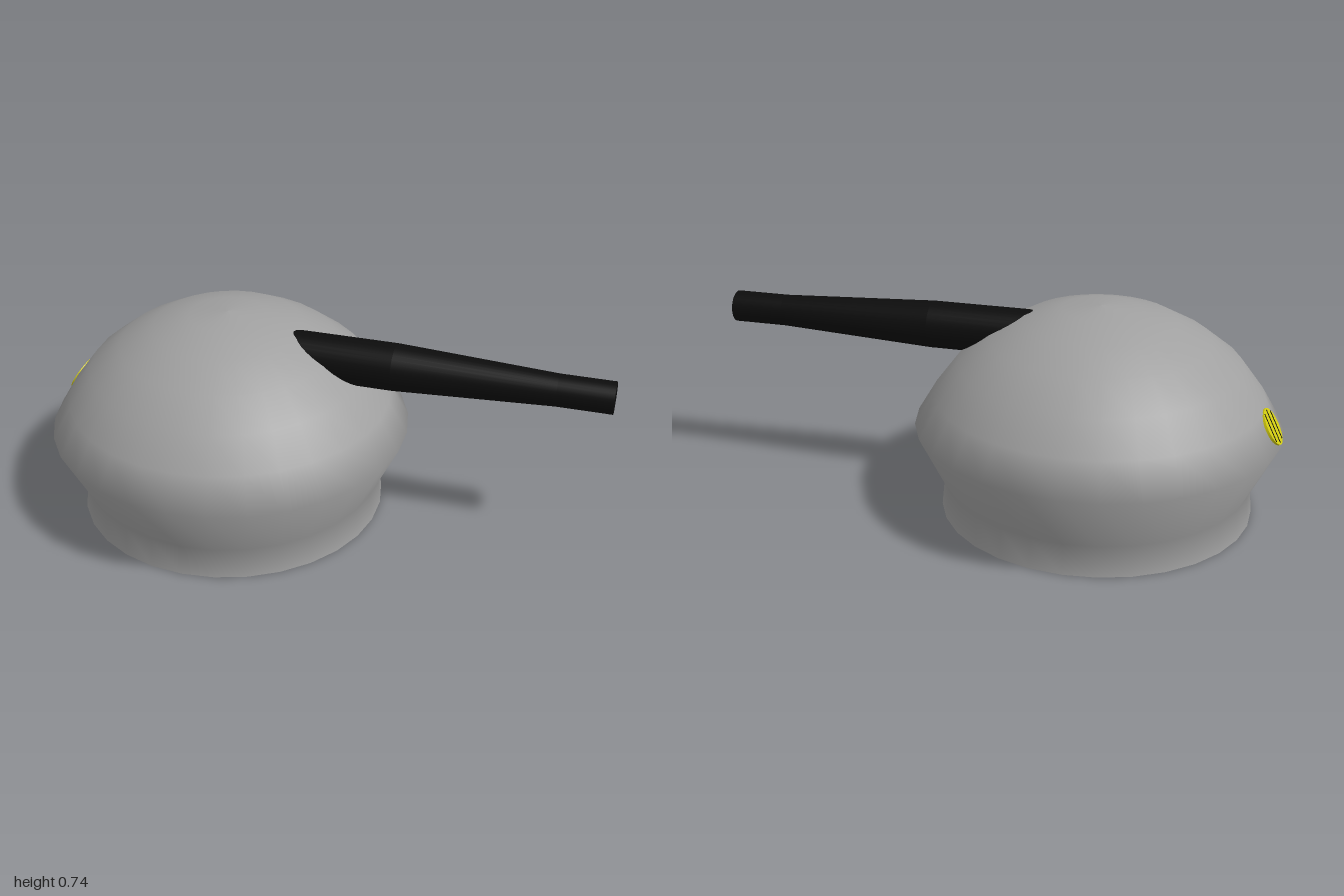
import * as THREE from 'three';

const grey = new THREE.MeshStandardMaterial({ color: 0xa0a0a0, side: THREE.DoubleSide });
grey.name = 'shellGrey';
const black = new THREE.MeshStandardMaterial({ color: 0x0c0c0c });
black.name = 'barrelBlack';
const yellow = new THREE.MeshStandardMaterial({ color: 0xd2cc10 });
yellow.name = 'markerYellow';

const CENTRE_X = -0.357;

function lathe(name, points, segments, material) {
  const profile = points.map(([r, y]) => new THREE.Vector2(r, y));
  const mesh = new THREE.Mesh(new THREE.LatheGeometry(profile, segments), material);
  mesh.name = name;
  return mesh;
}

export function createModel() {
  const model = new THREE.Group();
  model.name = 'turret';

  // Open-bottomed shell: flared skirt, wide waist and low dome
  const shell = lathe('domeShell', [
    [0.553, 0], [0.543, 0.108], [0.645, 0.315], [0.577, 0.43], [0.495, 0.54],
    [0.386, 0.626], [0.266, 0.692], [0.136, 0.731], [0, 0.743],
  ], 30, grey);
  shell.position.x = CENTRE_X;
  model.add(shell);

  // Tapered barrel: thick sleeve, cone, then straight muzzle along +x
  const barrel = new THREE.Group();
  barrel.name = 'barrel';
  const sections = [
    ['barrelSleeve', -0.16, 0.25, 0.083, 0.083],
    ['barrelTaper', 0.25, 0.81, 0.083, 0.056],
    ['barrelMuzzle', 0.81, 1, 0.056, 0.056],
  ];
  for (const [name, x0, x1, r0, r1] of sections) {
    const part = new THREE.Mesh(new THREE.CylinderGeometry(r1, r0, x1 - x0, 32), black);
    part.name = name;
    part.rotation.z = -Math.PI / 2;
    part.position.x = (x0 + x1) / 2;
    barrel.add(part);
  }
  barrel.position.set(0, 0.616, 0.003);
  model.add(barrel);

  // Round striped marker set into the dome opposite the barrel
  const marker = new THREE.Group();
  marker.name = 'marker';
  const R = 0.067;
  const disc = new THREE.Mesh(new THREE.CylinderGeometry(R, R, 0.009, 24), yellow);
  disc.name = 'markerDisc';
  disc.rotation.x = Math.PI / 2;
  marker.add(disc);
  for (const offset of [-0.036, 0, 0.036]) {
    const length = 1.8 * Math.sqrt(R * R - offset * offset);
    const stripe = new THREE.Mesh(new THREE.BoxGeometry(0.008, length, 0.0098), black);
    stripe.name = 'markerStripe';
    stripe.position.x = offset;
    marker.add(stripe);
  }
  // Lean the disc to match the lowest dome band
  const azimuth = 0.067;
  const radius = 0.607;
  const tilt = Math.atan2(0.068, 0.115);
  marker.position.set(CENTRE_X - radius * Math.cos(azimuth), 0.378, -radius * Math.sin(azimuth));
  const normal = new THREE.Vector3(
    -Math.cos(azimuth) * Math.cos(tilt), Math.sin(tilt), -Math.sin(azimuth) * Math.cos(tilt));
  marker.lookAt(marker.position.clone().add(normal));
  marker.rotateZ(-0.25);
  model.add(marker);

  return model;
}
